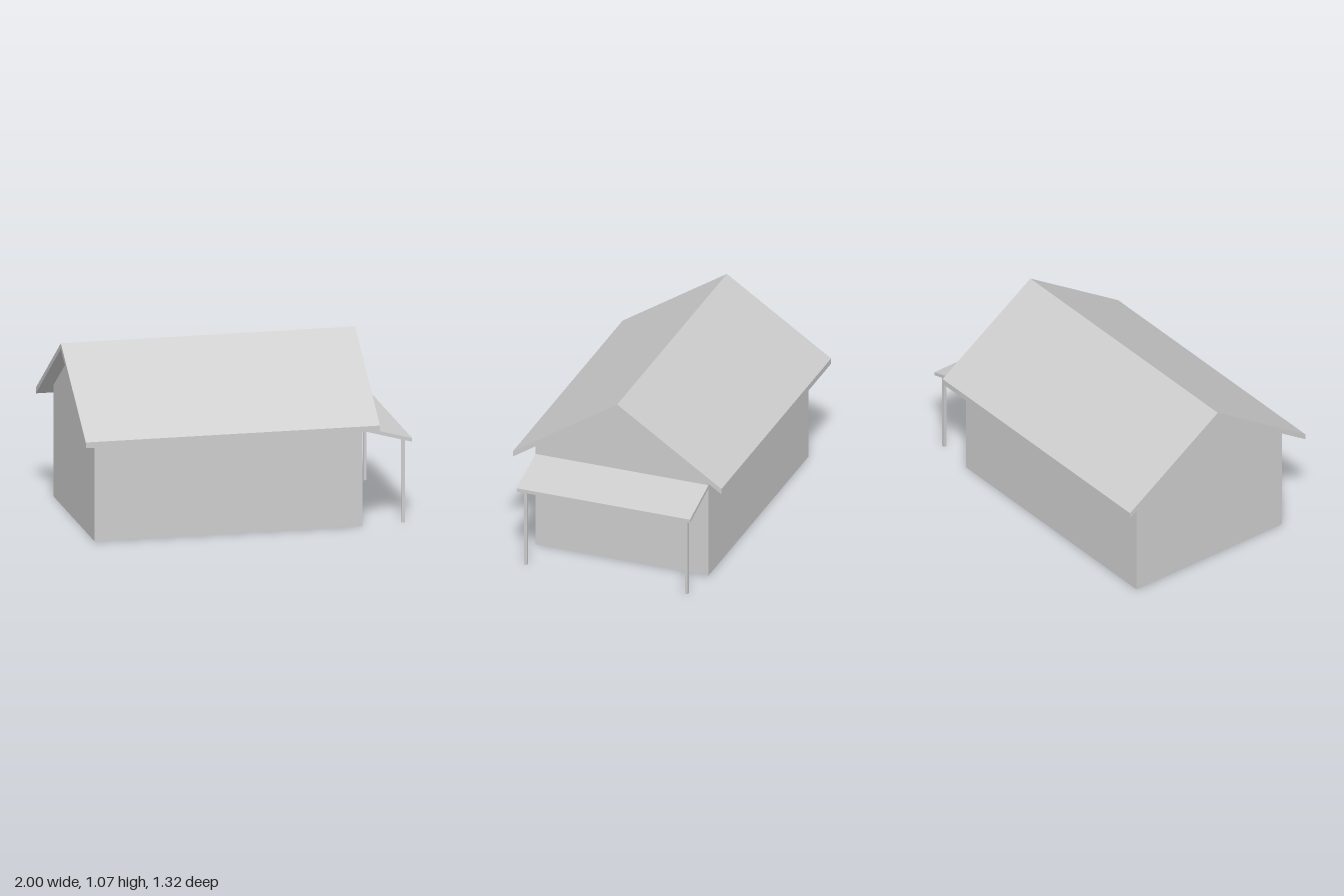
import * as THREE from 'three';

export function createModel() {
  const model = new THREE.Group();
  const grey = new THREE.MeshStandardMaterial({ color: 0xcccccc });
  grey.name = 'light grey';

  function add(name, geometry) {
    const mesh = new THREE.Mesh(geometry, grey);
    mesh.name = name;
    model.add(mesh);
    return mesh;
  }

  // Straight extrusion of an outline, from depth 0 to the given depth
  function prism(points, depth) {
    const shape = new THREE.Shape(points.map(([a, b]) => new THREE.Vector2(a, b)));
    return new THREE.ExtrudeGeometry(shape, { depth, bevelEnabled: false });
  }

  // Outline in (z, y), extruded along x from x0 to x1
  function prismAlongX(points, x0, x1) {
    return prism(points.map(([z, y]) => [-z, y]), x1 - x0)
      .rotateY(Math.PI / 2)
      .translate(x0, 0, 0);
  }

  // House body with gable ends
  const halfDepth = 0.547;
  add('walls', prismAlongX([
    [halfDepth, 0], [halfDepth, 0.676], [0, 1.03], [-halfDepth, 0.676], [-halfDepth, 0],
  ], -0.92, 0.70));

  // Pitched roof with overhanging eaves and vertical fascia
  add('roof', prismAlongX([
    [0.66, 0.602], [0.66, 0.637], [0, 1.074],
    [-0.66, 0.637], [-0.66, 0.602], [0, 1.039],
  ], -1, 0.78));

  // Sloping porch roof on the gable side
  add('porchRoof', prism([
    [0.70, 0.58], [1, 0.497], [1, 0.519], [0.70, 0.602],
  ], halfDepth * 2).translate(0, 0, -halfDepth));

  // Porch posts
  for (const side of [1, -1]) {
    const post = add(side > 0 ? 'frontPost' : 'backPost', new THREE.BoxGeometry(0.018, 0.51, 0.018));
    post.position.set(0.954, 0.255, side * 0.509);
  }

  return model;
}
